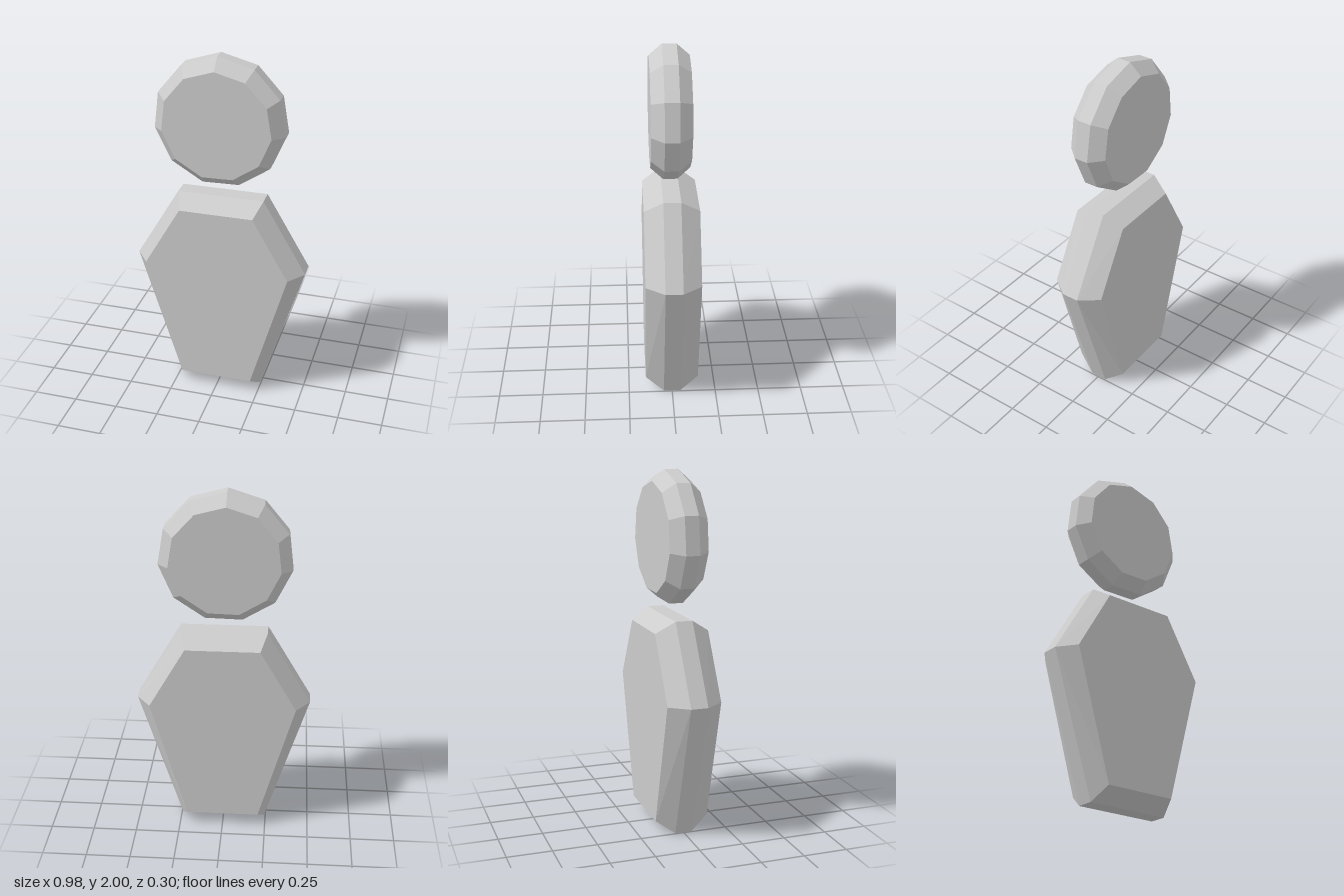
import * as THREE from 'three';
import { ConvexGeometry } from 'three/addons/geometries/ConvexGeometry.js';

// Plate with bevelled rims: a wide outline at +-band and a smaller one at +-face
function bevelledPlate(name, outer, inner, band, face, material) {
  const points = [];
  for (const side of [-1, 1]) {
    for (const [x, y] of outer) points.push(new THREE.Vector3(x, y, side * band));
    for (const [x, y] of inner) points.push(new THREE.Vector3(x, y, side * face));
  }
  const mesh = new THREE.Mesh(new ConvexGeometry(points), material);
  mesh.name = name;
  return mesh;
}

// Mirror the right-hand half of an outline
const mirrored = (half) => half.flatMap(([x, y]) => [[x, y], [-x, y]]);

// Regular polygon with its first corner at the given angle
function polygon(sides, radius, start) {
  return Array.from({ length: sides }, (_, i) => {
    const a = start + (i / sides) * Math.PI * 2;
    return [radius * Math.cos(a), radius * Math.sin(a)];
  });
}

export function createModel() {
  const model = new THREE.Group();
  model.name = 'figure';
  const material = new THREE.MeshStandardMaterial({ color: 0xcccccc, flatShading: true });

  // Six-sided tapering body
  const body = bevelledPlate(
    'body',
    mirrored([[0.243, 0], [0.489, 0.787], [0.243, 1.207]]),
    mirrored([[0.207, 0.073], [0.41, 0.787], [0.207, 1.14]]),
    0.048, 0.152, material
  );

  // Eleven-sided disc floating above the body
  const start = THREE.MathUtils.degToRad(91.5);
  const head = bevelledPlate(
    'head', polygon(11, 0.366, start), polygon(11, 0.305, start), 0.039, 0.108, material
  );
  head.position.set(-0.009, 1.634, 0.004);

  model.add(body, head);
  return model;
}
